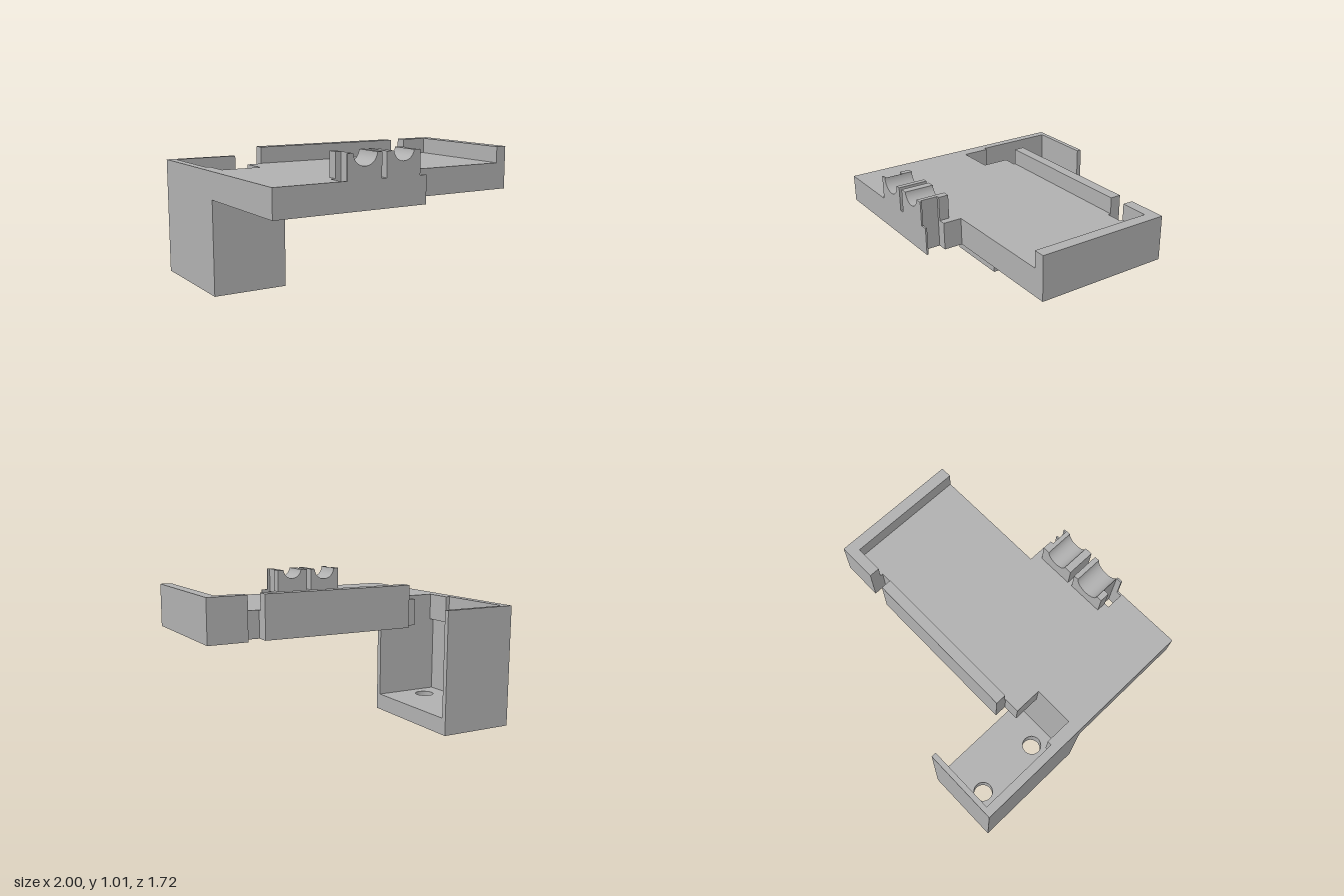
import * as THREE from 'three';

export function createModel() {
  const model = new THREE.Group();
  const grey = new THREE.MeshStandardMaterial({ color: 0xb0b0b0 });
  grey.name = 'plain grey';

  const add = (name, geometry) => {
    const mesh = new THREE.Mesh(geometry, grey);
    mesh.name = name;
    model.add(mesh);
    return mesh;
  };
  // Box given by its extents
  const block = (name, x0, x1, y0, y1, z0, z1) =>
    add(name, new THREE.BoxGeometry(x1 - x0, y1 - y0, z1 - z0))
      .position.set((x0 + x1) / 2, (y0 + y1) / 2, (z0 + z1) / 2);
  // Plan outlines in x, z, extruded upward
  const flip = (pts) => pts.map(([x, z]) => new THREE.Vector2(x, -z));
  const slab = (name, shape, y0, y1) => {
    const g = new THREE.ExtrudeGeometry(shape, { depth: y1 - y0, bevelEnabled: false, curveSegments: 24 });
    g.rotateX(-Math.PI / 2);
    add(name, g).position.y = y0;
  };

  const BASE = 0.655, DECK = 0.845, RIM = 0.96, CLIP = 1.01;

  // Deck with notches beside the clips, rear slot and cable opening
  const deck = new THREE.Shape(flip([
    [-1, 0.855], [0.09, 0.855], [0.09, 0.843], [0.02, 0.843], [0.02, 0.72], [0.09, 0.72],
    [0.09, 0.59], [1, 0.59], [1, -0.335], [0.72, -0.335], [0.72, -0.24], [0.6, -0.24],
    [0.6, -0.335], [-0.52, -0.335], [-0.52, -0.25], [-0.63, -0.25], [-0.63, -0.055],
    [-0.91, -0.055], [-0.91, -0.25], [-1, -0.25],
  ]));
  deck.holes.push(new THREE.Path(flip([[-0.535, 0.72], [-0.46, 0.72], [-0.46, 0.843], [-0.535, 0.843]])));
  slab('deck', deck, BASE, DECK);

  // Raised rims
  block('rearRim', -0.52, 0.6, DECK, RIM, -0.335, -0.26);
  slab('cornerRim', new THREE.Shape(flip([
    [0.72, -0.335], [1, -0.335], [1, 0.59], [0.92, 0.59], [0.92, -0.26], [0.72, -0.26],
  ])), DECK, RIM);

  // Mounting box: floor with two screw holes, and three walls
  const floor = new THREE.Shape(flip([[-1, -0.015], [-0.465, -0.015], [-0.465, -0.86], [-1, -0.86]]));
  for (const z of [-0.69, -0.195]) {
    const hole = new THREE.Path();
    hole.absarc(-0.772, -z, 0.067, 0, Math.PI * 2, true);
    floor.holes.push(hole);
  }
  slab('boxFloor', floor, 0, 0.115);
  block('boxBackWall', -1, -0.465, 0.115, DECK, -0.86, -0.825);
  block('boxFrontWall', -1, -0.465, 0.115, BASE, -0.055, -0.015);
  block('boxSideWall', -1, -0.94, 0.115, BASE, -0.825, -0.055);
  block('boxSideWallTop', -1, -0.94, BASE, DECK, -0.825, -0.25);

  // Clips: blocks with a round channel, narrowed in the middle by the notch
  const clip = (name, x0, x1, cx, cy, r, z0, z1) => {
    const a = Math.asin((CLIP - cy) / r);
    const s = new THREE.Shape();
    s.moveTo(x0, DECK);
    s.lineTo(x1, DECK);
    s.lineTo(x1, CLIP);
    s.absarc(cx, cy, r, a, Math.PI - a, true);
    s.lineTo(x0, CLIP);
    const g = new THREE.ExtrudeGeometry(s, { depth: z1 - z0, bevelEnabled: false, curveSegments: 24 });
    add(name, g).position.z = z0;
  };
  for (const [z0, z1, left, right] of [
    [0.65, 0.72, -0.5, 0.04],
    [0.72, 0.843, -0.46, 0.02],
    [0.843, 0.855, -0.5, 0.04],
  ]) {
    clip('rightClip', left, -0.25, -0.372, 1.015, 0.0875, z0, z1);
    clip('leftClip', -0.215, right, -0.086, 1.02, 0.077, z0, z1);
  }

  return model;
}
